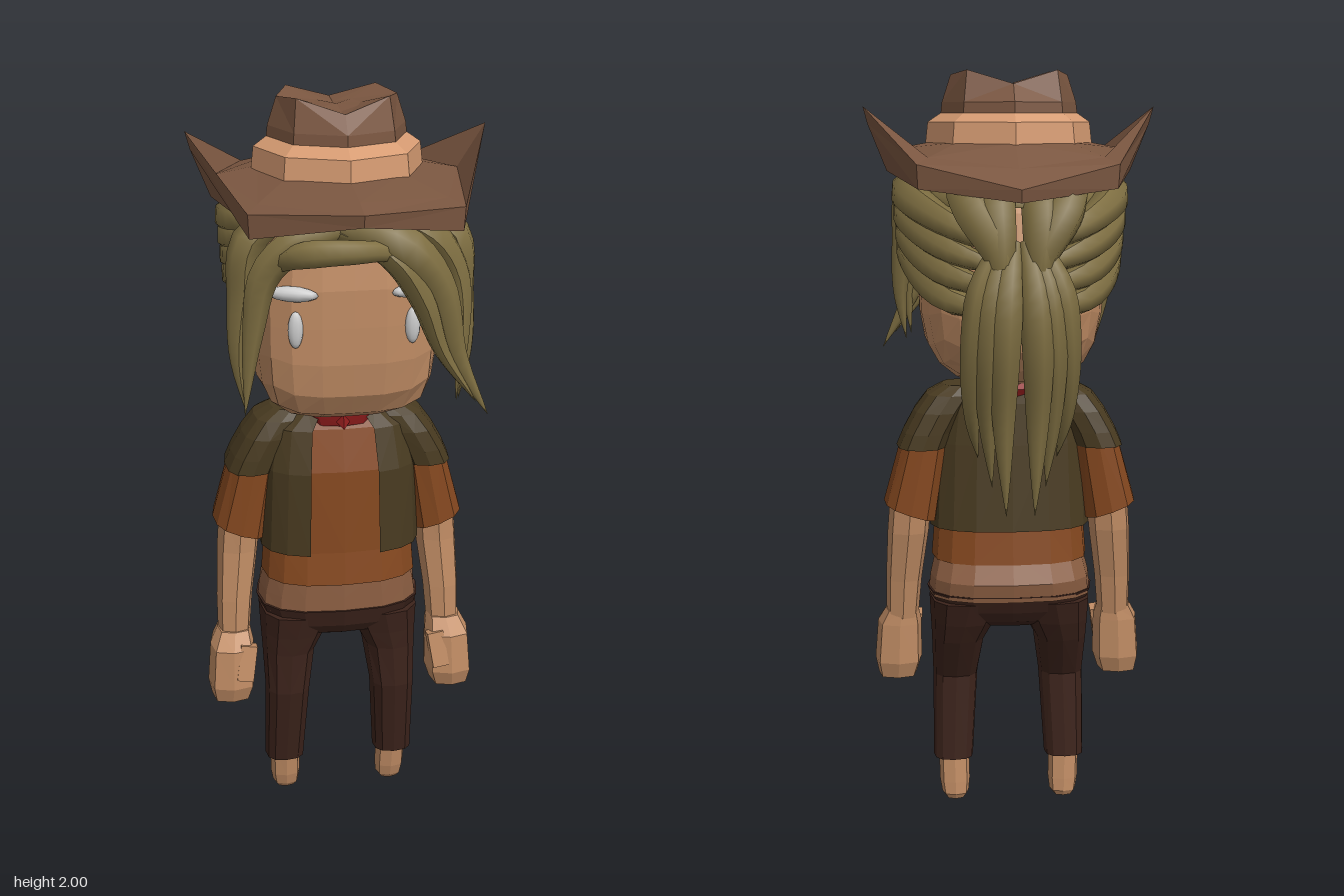
import * as THREE from 'three';

const V = (x, y, z) => new THREE.Vector3(x, y, z);
const mat = (color, flatShading = true, side = THREE.FrontSide) =>
  new THREE.MeshStandardMaterial({ color, flatShading, side });

const skinMat = mat(0xc08c64), hatMat = mat(0x7a5640), bandMat = mat(0xd69b72);
const hairMat = mat(0x7f6f42, false), shirtMat = mat(0x85481f), bellyMat = mat(0x8a5d41);
const vestMat = mat(0x483a20, true, THREE.DoubleSide), pantsMat = mat(0x3c231b);
const scarfMat = mat(0x8e1c1c, true, THREE.DoubleSide), whiteMat = mat(0xffffff, false);

// Skin a stack of equal rings, ordered bottom to top, each running from front toward +x
function skin(rings, closed = true) {
  const n = rings[0].length, pos = [], idx = [];
  rings.forEach(r => r.forEach(p => pos.push(p.x, p.y, p.z)));
  for (let i = 0; i < rings.length - 1; i++) {
    for (let j = 0; j < (closed ? n : n - 1); j++) {
      const k = (j + 1) % n, a = i * n + j, b = i * n + k;
      // Diagonals are mirrored left to right
      if (j < n / 2) idx.push(a, b, b + n, a, b + n, a + n);
      else idx.push(a, b, a + n, b, b + n, a + n);
    }
  }
  if (closed) {
    [0, rings.length - 1].forEach((i, top) => {
      const c = pos.length / 3, mid = V(0, 0, 0);
      rings[i].forEach(p => mid.addScaledVector(p, 1 / n));
      pos.push(mid.x, mid.y, mid.z);
      for (let j = 0; j < n; j++) {
        const a = i * n + j, b = i * n + (j + 1) % n;
        idx.push(c, ...(top ? [a, b] : [b, a]));
      }
    });
  }
  const g = new THREE.BufferGeometry();
  g.setAttribute('position', new THREE.Float32BufferAttribute(pos, 3));
  g.setIndex(idx);
  g.computeVertexNormals();
  return g;
}

// Rounded-square sections [y, centreX, radiusX, centreZ, radiusZ, tilt]; gap opens the front
function loft(sections, { n = 12, e = 0.75, gap = 0 } = {}) {
  const pw = v => Math.sign(v) * Math.abs(v) ** e;
  const rings = [...sections].sort((a, b) => a[0] - b[0]).map(([y, cx, rx, cz, rz, tilt = 0]) =>
    Array.from({ length: gap ? n + 1 : n }, (_, j) => {
      const t = gap + (j / n) * 2 * (Math.PI - gap), dx = rx * pw(Math.sin(t));
      return V(cx + dx, y + tilt * dx, cz + rz * pw(Math.cos(t)));
    }));
  return skin(rings, !gap);
}

// Mirror a front-to-back half outline into a full ring
const ring = half => [...half, ...half.slice(1, -1).reverse().map(([x, y, z]) => [-x, y, z])]
  .map(p => V(...p));
const octagon = (r, y, cz = 0) => Array.from({ length: 8 }, (_, j) =>
  V(r * Math.sin(j * Math.PI / 4), y, cz + r * Math.cos(j * Math.PI / 4)));

// Tapered lock of hair along a curve
function lock(points, r, start = 0.5, taper = 2) {
  const curve = new THREE.CatmullRomCurve3(points.map(p => V(...p)));
  const steps = 18, sides = 7, g = new THREE.TubeGeometry(curve, steps, r, sides);
  const p = g.attributes.position, v = V();
  for (let i = 0; i <= steps; i++) {
    const t = i / steps, c = curve.getPointAt(t);
    const s = Math.min(1, start + t * 2) * (1 - t ** taper) + 0.01;
    for (let j = 0; j <= sides; j++) {
      const q = i * (sides + 1) + j;
      v.fromBufferAttribute(p, q).sub(c).multiplyScalar(s).add(c);
      p.setXYZ(q, v.x, v.y, v.z);
    }
  }
  g.computeVertexNormals();
  return g;
}

export function createModel() {
  const model = new THREE.Group();
  const add = (name, geometry, material, parent = model) => {
    const m = new THREE.Mesh(geometry, material);
    m.name = name;
    parent.add(m);
    return m;
  };
  const group = name => {
    const g = new THREE.Group();
    g.name = name;
    model.add(g);
    return g;
  };

  // Head: subdivided box pushed onto a boxy rounded form, squarer toward the face
  const headGeo = new THREE.BoxGeometry(2, 2, 2, 6, 6, 6), hp = headGeo.attributes.position;
  for (let i = 0; i < hp.count; i++) {
    const v = V().fromBufferAttribute(hp, i), e = 3 + 0.9 * Math.max(0, v.z);
    v.divideScalar((Math.abs(v.x) ** e + Math.abs(v.y) ** e + Math.abs(v.z) ** e) ** (1 / e));
    hp.setXYZ(i, v.x * 0.241, 1.475 + v.y * 0.285, v.z * 0.29);
  }
  add('head', headGeo, skinMat);

  // Eyes and eyebrows
  for (const s of [-1, 1]) {
    const eye = add('eye', new THREE.SphereGeometry(1, 10, 8), whiteMat);
    eye.scale.set(0.019, 0.047, 0.014);
    eye.position.set(s * 0.145, 1.475, 0.282);
    const brow = add('eyebrow', new THREE.SphereGeometry(1, 10, 8), whiteMat);
    brow.scale.set(0.064, 0.019, 0.02);
    brow.position.set(s * 0.152, 1.565, 0.278);
    brow.rotation.set(0, s * 0.25, s * 0.05);
  }

  // Hat brim, curled up at the sides
  const hat = group('hat');
  const under = [[0, 1.765, 0.36], [0.235, 1.725, 0.285], [0.32, 1.745, 0], [0.225, 1.715, -0.255], [0, 1.71, -0.32]];
  const low = [[0, 1.755, 0.415], [0.257, 1.715, 0.322], [0.368, 1.865, 0], [0.247, 1.71, -0.287], [0, 1.68, -0.375]];
  const edge = [[0, 1.785, 0.42], [0.26, 1.775, 0.325], [0.38, 1.91, 0], [0.25, 1.77, -0.29], [0, 1.712, -0.38]];
  const crease = [[0, 1.80, 0.35], [0.23, 1.785, 0.265], [0.31, 1.80, 0], [0.22, 1.785, -0.23], [0, 1.76, -0.3]];
  add('brim', skin([octagon(0.19, 1.77), ring(under), ring(low), ring(edge), ring(crease),
    octagon(0.2, 1.82)]), hatMat, hat);
  // Band and dented crown
  add('hatBand', skin([octagon(0.22, 1.8, 0.008), octagon(0.212, 1.87, 0.008),
    octagon(0.175, 1.895)]), bandMat, hat);
  add('crown', skin([octagon(0.182, 1.86), octagon(0.175, 1.92),
    ring([[0, 1.965, 0.14], [0.115, 2, 0.1], [0.152, 1.99, 0], [0.115, 2, -0.1], [0, 1.965, -0.135]]),
    ring([[0, 1.96, 0.07], [0.045, 1.97, 0.05], [0.06, 1.97, 0], [0.045, 1.97, -0.05], [0, 1.96, -0.07]])]),
    hatMat, hat);

  // Hair: cap under the hat, locks swept back to the ponytail, then the bangs
  const hair = group('hair');
  const cap = add('hairCap', new THREE.SphereGeometry(1, 16, 8, 0, Math.PI * 2, 0, Math.PI / 2), hairMat, hair);
  cap.scale.set(0.25, 0.11, 0.3);
  cap.position.set(0, 1.665, -0.01);
  for (const s of [-1, 1]) {
    for (let k = 0; k < 4; k++) {
      add('sweptLock', lock([[s * 0.16, 1.74 - 0.04 * k, 0.2], [s * 0.24, 1.71 - 0.042 * k, 0.12],
        [s * (0.26 - 0.005 * k), 1.68 - 0.053 * k, -0.08], [s * 0.165, 1.62 - 0.062 * k, -0.26],
        [s * 0.02, 1.56 - 0.048 * k, -0.335]], 0.047, 0.5, 5), hairMat, hair);
    }
    // Locks running down the back of the head
    for (let k = 0; k < 2; k++) {
      add('backLock', lock([[s * (0.05 + 0.09 * k), 1.75, -0.2], [s * (0.055 + 0.06 * k), 1.66, -0.3],
        [s * 0.05, 1.54, -0.345], [s * 0.05, 1.43, -0.36]], 0.05, 0.6, 4), hairMat, hair);
    }
    // Ponytail, parted down the middle
    for (let k = 0; k < 3; k++) {
      const w = s * (0.04 + 0.036 * k);
      add('ponytailLock', lock([[w * 0.4, 1.58, -0.32], [w * 0.8, 1.48, -0.37 + 0.01 * k],
        [w, 1.34, -0.385 + 0.018 * k], [w * 1.05, 1.14, -0.36 + 0.03 * k],
        [w * 0.9, 0.9 + 0.065 * k, -0.355 + 0.05 * k]], 0.044, 0.5, 2.5), hairMat, hair);
    }
    // Locks in front of the temples
    add('templeLock', lock([[s * 0.15, 1.75, 0.22], [s * 0.25, 1.69, 0.24], [s * 0.272, 1.55, 0.24],
      [s * 0.285, 1.4, 0.25], [s * 0.27, 1.27, 0.26]], 0.045, 0.6, 2), hairMat, hair);
  }
  const bangs = [
    [[[-0.06, 1.73, 0.28], [0.1, 1.69, 0.335], [0.195, 1.58, 0.32], [0.25, 1.4, 0.31], [0.335, 1.24, 0.31]], 0.058],
    [[[-0.04, 1.72, 0.3], [0.08, 1.67, 0.345], [0.155, 1.56, 0.34], [0.21, 1.42, 0.325], [0.3, 1.28, 0.32]], 0.042],
    [[[0.02, 1.75, 0.27], [0.17, 1.71, 0.28], [0.25, 1.6, 0.27], [0.265, 1.42, 0.29], [0.255, 1.28, 0.3]], 0.048],
    [[[-0.2, 1.64, 0.29], [-0.14, 1.68, 0.36], [-0.03, 1.69, 0.385], [0.09, 1.67, 0.35], [0.2, 1.56, 0.31]], 0.036],
    [[[0, 1.73, 0.28], [-0.12, 1.71, 0.31], [-0.215, 1.63, 0.3], [-0.25, 1.48, 0.3], [-0.275, 1.27, 0.31]], 0.046],
  ];
  bangs.forEach(([pts, r]) => add('bang', lock(pts, r), hairMat, hair));

  // Neckerchief with a point at the front
  add('neck', loft([[1.12, 0, 0.07, 0, 0.06], [1.24, 0, 0.07, 0, 0.06]]), skinMat);
  add('neckerchief', loft([[1.15, 0, 0.11, 0.01, 0.1], [1.18, 0, 0.13, 0.005, 0.11],
    [1.21, 0, 0.09, 0, 0.08]], { e: 1 }), scarfMat);
  const point = add('neckerchiefPoint', new THREE.ConeGeometry(0.05, 0.07, 4), scarfMat);
  point.position.set(0, 1.168, 0.1);
  point.rotation.x = 2.2;

  // Shirt, open vest and waist
  add('shirt', loft([[0.71, 0, 0.212, 0.01, 0.148], [0.8, 0, 0.205, 0.01, 0.135], [1.03, 0, 0.195, 0.018, 0.118],
    [1.14, 0, 0.17, 0.01, 0.095], [1.18, 0, 0.12, 0, 0.08]], { n: 16 }), shirtMat);
  add('vest', loft([[0.8, 0, 0.218, 0.015, 0.147], [1.03, 0, 0.208, 0.022, 0.131],
    [1.14, 0, 0.19, 0.012, 0.108], [1.185, 0, 0.125, 0, 0.088]], { n: 16, gap: 0.33 }), vestMat);
  add('waist', loft([[0.61, 0, 0.222, -0.005, 0.148], [0.66, 0, 0.217, -0.01, 0.15],
    [0.73, 0, 0.2, 0.005, 0.13]], { n: 16 }), bellyMat);

  // Trouser seat
  add('trouserSeat', loft([[0.52, 0, 0.1, 0, 0.07], [0.545, 0, 0.18, 0, 0.115], [0.575, 0, 0.208, 0, 0.135],
    [0.625, 0, 0.226, -0.004, 0.152]], { n: 16 }), pantsMat);

  for (const s of [-1, 1]) {
    const limb = (name, secs, material, opt) => add(name, loft(secs.map(
      ([y, cx, rx, cz, rz, tilt = 0]) => [y, cx * s, rx, cz, rz, tilt * s]), opt), material);

    // Legs and feet
    limb('trouserLeg', [[0.6, 0.115, 0.105, -0.003, 0.14], [0.535, 0.128, 0.089, 0.003, 0.122],
      [0.48, 0.141, 0.073, 0.013, 0.105], [0.36, 0.148, 0.062, 0.047, 0.07], [0.12, 0.156, 0.055, 0.02, 0.055]], pantsMat);
    limb('foot', [[0.14, 0.155, 0.042, 0.018, 0.042], [0.05, 0.153, 0.042, 0.008, 0.04],
      [0.015, 0.152, 0.037, 0.002, 0.036], [0, 0.152, 0.026, 0, 0.026]], skinMat, { n: 8 });

    // Vest shoulder, sleeve, forearm and fist
    limb('vestShoulder', [[1.185, 0.13, 0.05, 0, 0.06], [1.16, 0.16, 0.065, 0, 0.085], [1.115, 0.192, 0.066, 0, 0.1],
      [1.06, 0.222, 0.066, -0.003, 0.106], [1.02, 0.238, 0.067, -0.005, 0.108]], vestMat);
    limb('sleeve', [[1.05, 0.228, 0.062, -0.005, 0.098], [0.842, 0.27, 0.071, -0.008, 0.1, 0.35]], shirtMat);
    limb('forearm', [[0.88, 0.268, 0.056, 0, 0.07], [0.78, 0.276, 0.056, 0.003, 0.066],
      [0.64, 0.289, 0.049, 0.022, 0.057], [0.53, 0.294, 0.044, 0.032, 0.051]], skinMat, { n: 8 });
    limb('fist', [[0.55, 0.295, 0.045, 0.035, 0.052], [0.51, 0.302, 0.06, 0.055, 0.075],
      [0.4, 0.306, 0.065, 0.06, 0.08], [0.355, 0.309, 0.053, 0.06, 0.065]], skinMat, { n: 8, e: 0.6 });
    const thumb = add('thumb', new THREE.BoxGeometry(0.045, 0.1, 0.04), skinMat);
    thumb.position.set(s * 0.267, 0.47, 0.11);
    thumb.rotation.set(-0.2, 0, s * 0.15);
  }
  return model;
}
